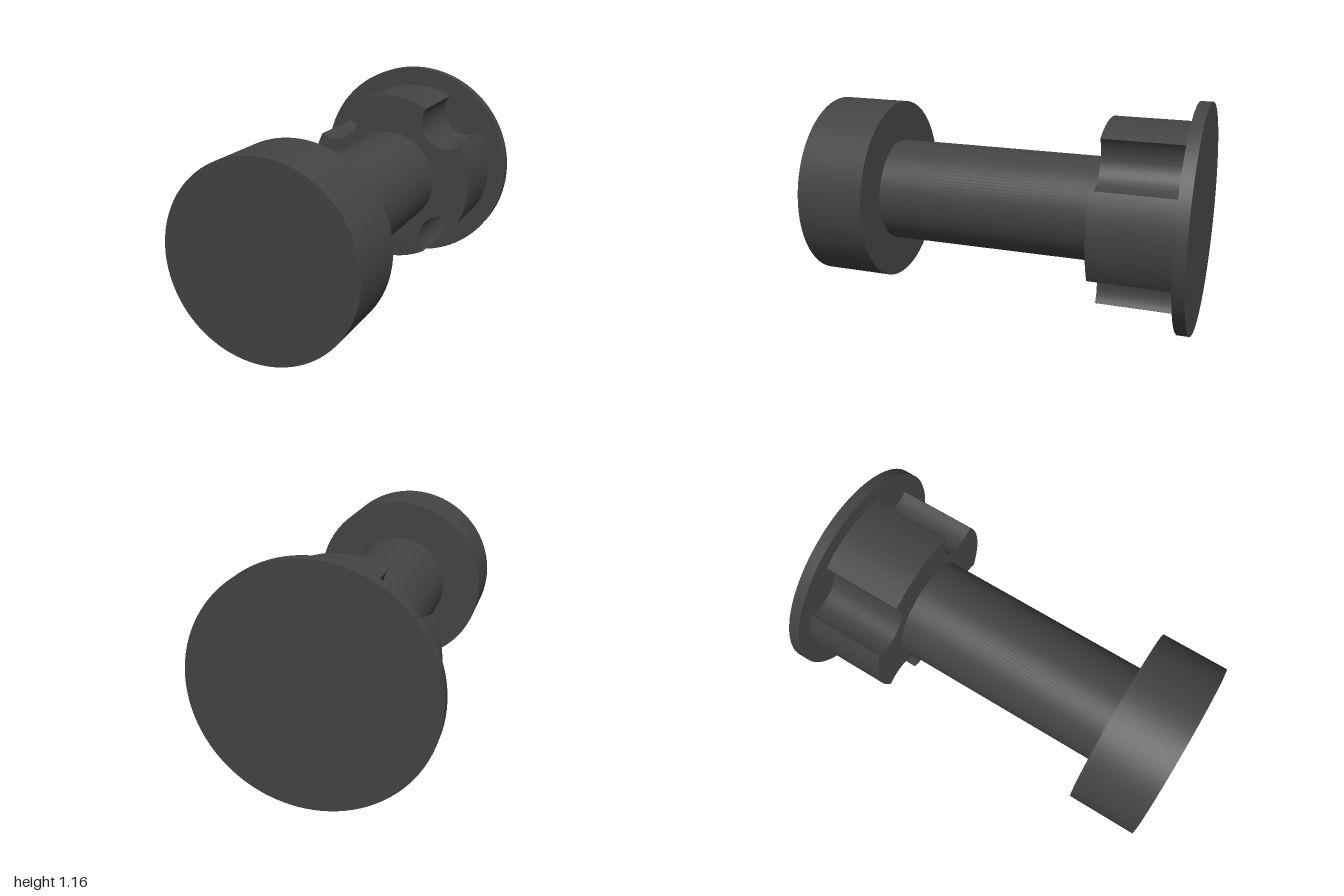
import * as THREE from 'three';
import { toCreasedNormals } from 'three/addons/utils/BufferGeometryUtils.js';

const AXIS_Y = 0.58;

export function createModel() {
  const group = new THREE.Group();
  const material = new THREE.MeshStandardMaterial({ color: 0x444444 });

  function add(name, geometry) {
    const mesh = new THREE.Mesh(geometry, material);
    mesh.name = name;
    mesh.position.y = AXIS_Y;
    group.add(mesh);
  }

  // Round section lying along z, from zBack to zFront
  function addDisc(name, radius, zBack, zFront) {
    const geometry = new THREE.CylinderGeometry(radius, radius, zFront - zBack, 96);
    geometry.rotateX(Math.PI / 2).translate(0, 0, (zBack + zFront) / 2);
    add(name, geometry);
  }

  addDisc('frontHead', 0.48, 0.64, 1);
  addDisc('shaft', 0.27, -0.52, 0.64);
  addDisc('backPlate', 0.58, -1, -0.94);

  // Hub with four round notches on the diagonals
  const R = 0.48, notchR = 0.143;
  const half = 2 * Math.asin(notchR / (2 * R)); // half-angle of a notch seen from the axis
  const sweep = Math.PI / 2 - half / 2;         // half-angle of the notch arc
  const shape = new THREE.Shape();
  for (let i = 0; i < 4; i++) {
    const t = Math.PI / 4 + i * Math.PI / 2;
    shape.absarc(0, 0, R, t - Math.PI / 2 + half, t - half, false);
    shape.absarc(R * Math.cos(t), R * Math.sin(t), notchR,
      t + Math.PI + sweep, t + Math.PI - sweep, true);
  }
  const hub = new THREE.ExtrudeGeometry(shape, { depth: 0.42, bevelEnabled: false, curveSegments: 24 });
  hub.translate(0, 0, -0.94);
  add('notchedHub', toCreasedNormals(hub, 0.5));

  return group;
}
